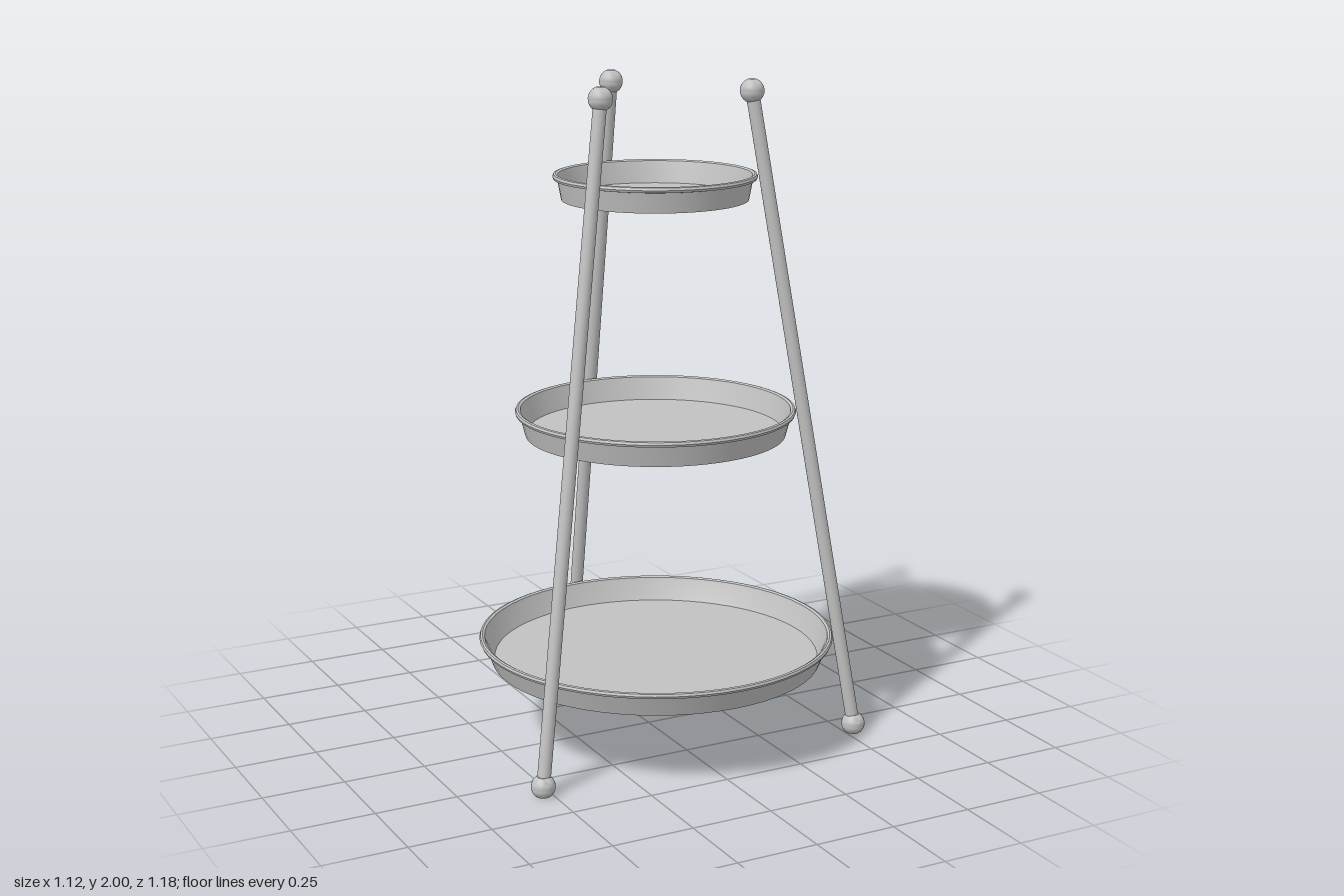
import * as THREE from 'three';
import { toCreasedNormals } from 'three/addons/utils/BufferGeometryUtils.js';

const metal = new THREE.MeshStandardMaterial({ color: 0xc0c1c0 });
metal.name = 'silver metal';

// Turned part from [radius, height] pairs, outer side listed upwards
function lathe(name, points, segments) {
  const geometry = new THREE.LatheGeometry(points.map(([r, y]) => new THREE.Vector2(r, y)), segments);
  const mesh = new THREE.Mesh(toCreasedNormals(geometry, 0.6), metal);
  mesh.name = name;
  return mesh;
}

// Shallow tray with sloping wall and a rolled lip
function tray(name, rim, base, bottom, top, z) {
  const mesh = lathe(name, [
    [0, bottom], [base, bottom],
    [rim - 0.014, top - 0.018], [rim - 0.003, top - 0.016], [rim, top - 0.009],
    [rim - 0.003, top - 0.002], [rim - 0.009, top], [rim - 0.016, top - 0.004],
    [rim - 0.019, top - 0.014], [base - 0.008, bottom + 0.008], [0, bottom + 0.008],
  ], 64);
  mesh.position.z = z;
  return mesh;
}

// Ball cut flat at its lower and upper ends
function ball(name, radius, low, high) {
  const points = [[0, low]];
  const a = Math.asin(low / radius), b = Math.asin(high / radius);
  for (let i = 0; i <= 8; i++) {
    const t = a + (b - a) * i / 8;
    points.push([radius * Math.cos(t), radius * Math.sin(t)]);
  }
  points.push([0, high]);
  return lathe(name, points, 20);
}

// Sloping round rod with a foot and a finial
function leg(name, angle) {
  const group = new THREE.Group();
  group.name = name;
  const at = (radius, y, z) =>
    new THREE.Vector3(radius * Math.sin(angle), y, z + radius * Math.cos(angle));
  const foot = at(0.607, 0.028, 0.052);
  const head = at(0.282, 1.966, 0.038);
  const along = head.clone().sub(foot);

  const rod = new THREE.Mesh(new THREE.CylinderGeometry(0.02, 0.02, along.length(), 20), metal);
  rod.name = 'rod';
  rod.position.copy(foot).lerp(head, 0.5);
  rod.quaternion.setFromUnitVectors(new THREE.Vector3(0, 1, 0), along.normalize());

  const footBall = ball('foot', 0.036, -0.028, 0.031);
  footBall.position.copy(foot);
  const headBall = ball('finial', 0.036, -0.031, 0.034);
  headBall.position.copy(head);
  group.add(rod, footBall, headBall);
  return group;
}

export function createModel() {
  const model = new THREE.Group();
  model.name = 'tieredStand';

  model.add(
    tray('lowerTray', 0.54, 0.502, 0.24, 0.32, 0.05),
    tray('middleTray', 0.42, 0.39, 0.945, 1.025, 0.045),
    tray('upperTray', 0.30, 0.275, 1.65, 1.727, 0.042),
  );

  ['leftLeg', 'backLeg', 'rightLeg'].forEach((name, i) =>
    model.add(leg(name, Math.PI / 3 + i * Math.PI * 2 / 3)));

  return model;
}
